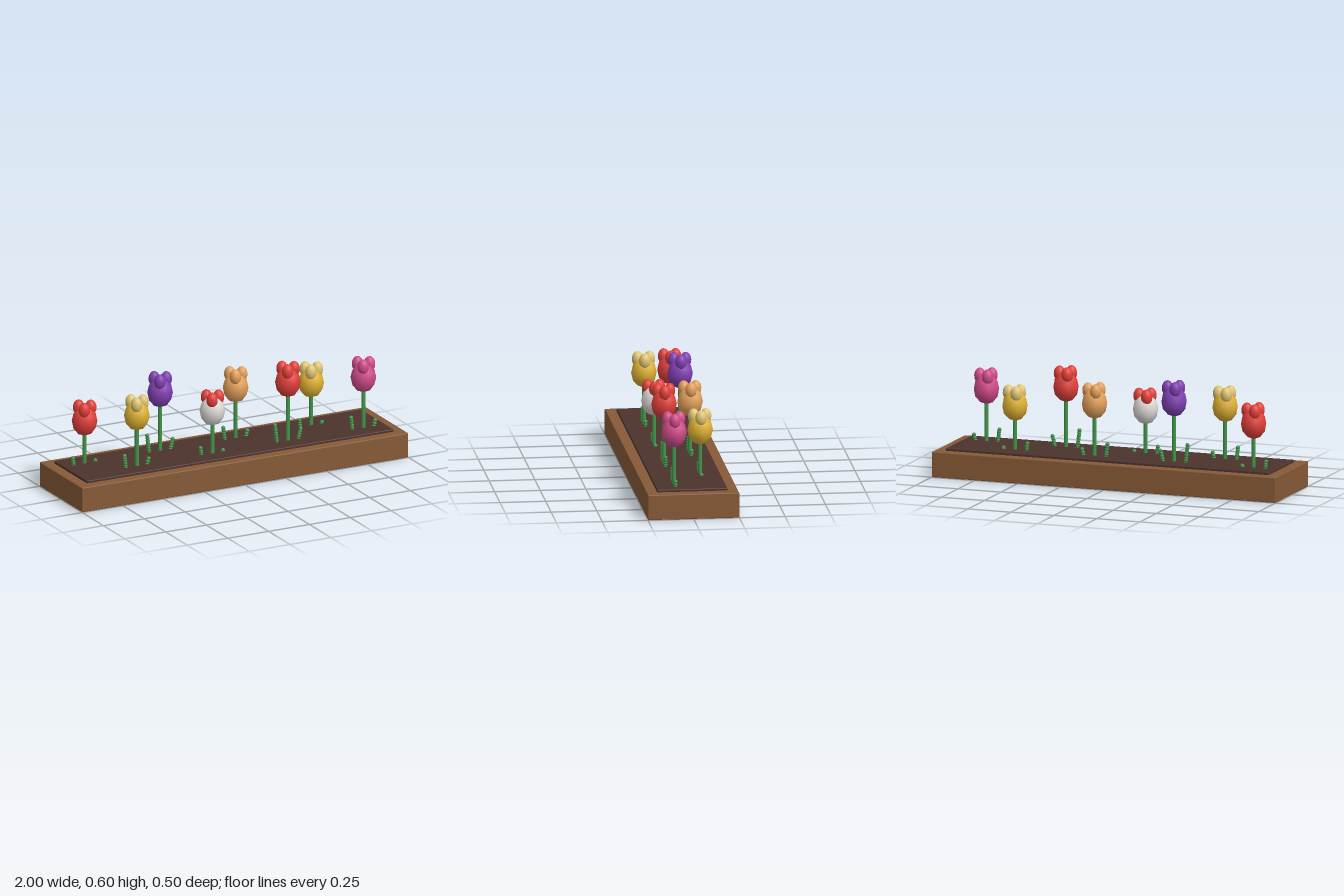
import * as THREE from 'three';
import { RoundedBoxGeometry } from 'three/addons/geometries/RoundedBoxGeometry.js';

const mat = (name, color) => {
  const m = new THREE.MeshStandardMaterial({ color });
  m.name = name;
  return m;
};

export function createModel() {
  const red = mat('red', 0xe2403a);
  const yellow = mat('yellow', 0xe0b233);
  const paleYellow = mat('pale yellow', 0xdfc573);
  const purple = mat('purple', 0x8040b2);
  const white = mat('white', 0xdedad6);
  const orange = mat('orange', 0xe3a05a);
  const pink = mat('pink', 0xd24b8a);
  const green = mat('leaf green', 0x43954a);
  const wood = mat('wood', 0x875a37);
  const earth = mat('soil', 0x4c332d);

  const model = new THREE.Group();
  model.name = 'flowerPlanter';

  const add = (parent, name, geometry, material, x, y, z) => {
    const mesh = new THREE.Mesh(geometry, material);
    mesh.name = name;
    mesh.position.set(x, y, z);
    parent.add(mesh);
    return mesh;
  };

  // Planter box with its raised bed of soil
  add(model, 'planterBox', new RoundedBoxGeometry(2, 0.14, 0.5, 2, 0.005), wood, 0, 0.07, 0);
  add(model, 'soil', new RoundedBoxGeometry(1.88, 0.05, 0.384, 2, 0.005), earth, 0, 0.129, 0);

  // Shared flower shapes
  const bulbGeo = new THREE.IcosahedronGeometry(1, 1).scale(0.07, 0.085, 0.07);
  const petalGeo = new THREE.SphereGeometry(1, 20, 14).scale(0.031, 0.043, 0.031);
  const beadGeo = new THREE.SphereGeometry(0.0115, 10, 8);

  // A leaf shoot: a leaning stack of beads ending at height top
  const addShoot = (parent, name, side, base, lean, top) => {
    const shoot = new THREE.Group();
    shoot.name = name;
    const last = top - 0.0115;
    const count = Math.max(1, Math.round((last - 0.15) / 0.015));
    for (let k = 0; k <= count; k++) {
      const y = 0.15 + (last - 0.15) * k / count;
      add(shoot, 'leafBead', beadGeo, green, side * (base + lean * (y - 0.15)), y, 0);
    }
    parent.add(shoot);
  };

  // Bulb and petal colours, from right to left
  const colours = [
    [red, red], [yellow, paleYellow], [purple, purple], [white, red],
    [orange, orange], [red, red], [yellow, paleYellow], [pink, pink],
  ];

  colours.forEach(([bulbMat, petalMat], i) => {
    const flower = new THREE.Group();
    flower.name = 'flower' + (i + 1);
    flower.position.set(-0.81 + i * 0.2314, 0, i % 2 ? 0.085 : -0.085);
    model.add(flower);

    // Three heights repeat along the row
    const step = i % 3;
    const bulbY = 0.396 + step * 0.045;
    const stemHeight = bulbY - 0.14;
    add(flower, 'stem', new THREE.CylinderGeometry(0.0115, 0.0115, stemHeight, 12), green, 0, 0.14 + stemHeight / 2, 0);
    add(flower, 'bulb', bulbGeo, bulbMat, 0, bulbY, 0);
    for (let k = 0; k < 3; k++) {
      const a = k * Math.PI * 2 / 3;
      add(flower, 'petal', petalGeo, petalMat, Math.cos(a) * 0.038, bulbY + 0.071, Math.sin(a) * 0.038);
    }

    addShoot(flower, 'tallLeaf', -1, 0.067, 0.12, 0.203 + step * 0.029);
    addShoot(flower, 'shortLeaf', 1, 0.064, 0.24, 0.17 + step * 0.024);
  });

  return model;
}
